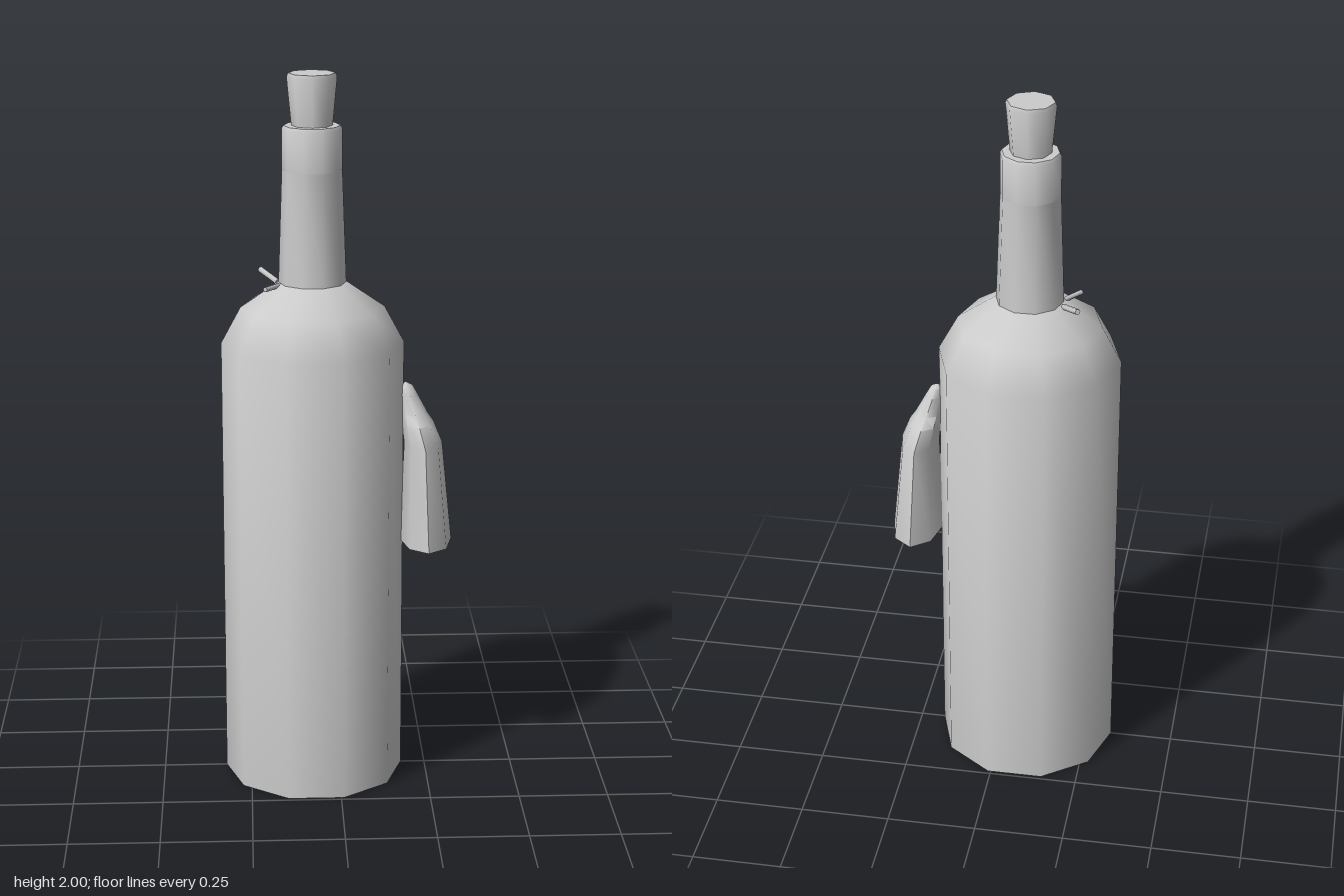
import * as THREE from 'three';
import { toCreasedNormals } from 'three/addons/utils/BufferGeometryUtils.js';

const material = new THREE.MeshStandardMaterial({ color: 0xcccccc });
const CREASE = 0.9;

// Turned part: profile of [radius, height] from bottom to top
function turned(name, profile, sides) {
  const points = profile.map(([r, y]) => new THREE.Vector2(r, y));
  const geometry = new THREE.LatheGeometry(points, sides, Math.PI / 2);
  const mesh = new THREE.Mesh(toCreasedNormals(geometry, CREASE), material);
  mesh.name = name;
  return mesh;
}

// Leaning oval bell: rings of [height, centre x, half width x, half width z]
function bell(name, rings, sides) {
  const points = rings.map(([y]) => new THREE.Vector2(1, y));
  const geometry = new THREE.LatheGeometry(points, sides, Math.PI / 2);
  const pos = geometry.attributes.position;
  for (let i = 0; i < pos.count; i++) {
    const [y, cx, rx, rz] = rings[i % rings.length];
    pos.setXYZ(i, cx + pos.getX(i) * rx, y, pos.getZ(i) * rz);
  }
  const mesh = new THREE.Mesh(toCreasedNormals(geometry, CREASE), material);
  mesh.name = name;
  return mesh;
}

// Thin rod between two points
function rod(name, from, to, radius) {
  const a = new THREE.Vector3(...from), b = new THREE.Vector3(...to);
  const direction = b.clone().sub(a);
  const mesh = new THREE.Mesh(new THREE.CylinderGeometry(radius, radius, direction.length(), 6), material);
  mesh.position.copy(a).add(b).multiplyScalar(0.5);
  mesh.quaternion.setFromUnitVectors(new THREE.Vector3(0, 1, 0), direction.normalize());
  mesh.name = name;
  return mesh;
}

export function createModel() {
  const model = new THREE.Group();
  model.name = 'corkedBottle';

  // Bottle, ten-sided
  const bottle = new THREE.Group();
  bottle.name = 'bottle';
  bottle.position.x = -0.07;
  bottle.add(
    turned('body', [[0, 0], [0.252, 0], [0.252, 1.26], [0.198, 1.36], [0.095, 1.43], [0, 1.43]], 10),
    turned('neck', [[0.093, 1.425], [0.082, 1.74]], 10),
    turned('collar', [[0.082, 1.74], [0.082, 1.852], [0.077, 1.86], [0, 1.86]], 10),
    turned('cork', [[0.055, 1.85], [0.068, 1.99], [0.064, 2], [0, 2]], 8),
  );
  model.add(bottle);

  // Bell-shaped tag hanging against the left side
  model.add(bell('hangingTag', [
    [0.685, 0.247, 0, 0],
    [0.685, 0.247, 0.073, 0.136],
    [0.97, 0.238, 0.053, 0.097],
    [1.03, 0.222, 0.045, 0.075],
    [1.055, 0.213, 0.037, 0.042],
    [1.11, 0.197, 0.024, 0.03],
    [1.135, 0.191, 0.016, 0.018],
    [1.145, 0.187, 0, 0],
  ], 8));

  // Loose string ends at the foot of the neck
  model.add(
    rod('stringEndBack', [-0.165, 1.425, -0.022], [-0.212, 1.447, -0.088], 0.008),
    rod('stringEndFront', [-0.16, 1.425, 0.018], [-0.2, 1.425, 0.072], 0.007),
  );
  return model;
}
